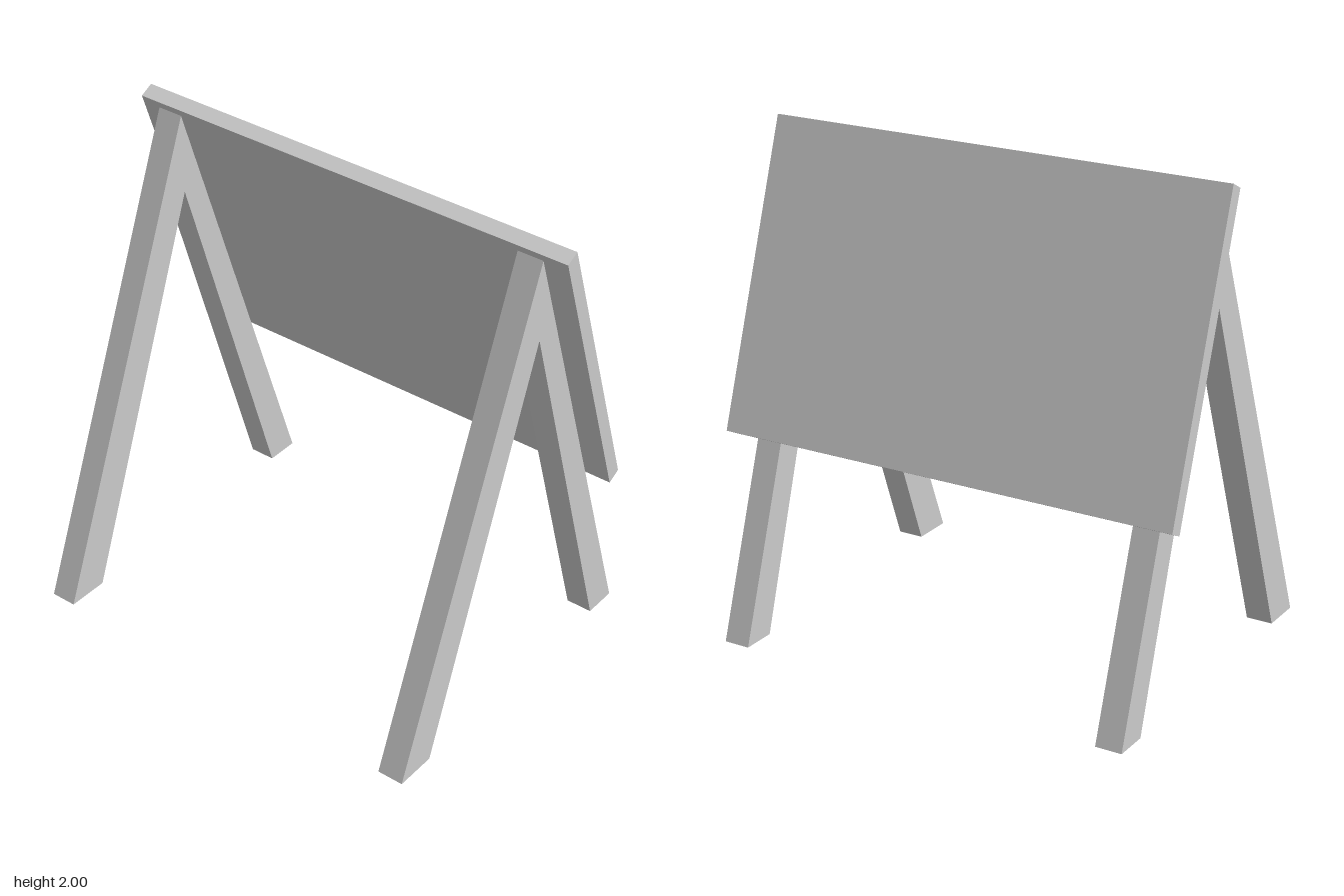
import * as THREE from 'three';

const material = new THREE.MeshStandardMaterial({ color: 0xcccccc, flatShading: true });

// Extrudes a side profile of [z, y] points across x, centred on the given x.
function sidePart(name, profile, width, x) {
  const shape = new THREE.Shape(profile.map(([z, y]) => new THREE.Vector2(z, y)));
  const geometry = new THREE.ExtrudeGeometry(shape, { depth: width, bevelEnabled: false });
  geometry.translate(0, 0, -width / 2);
  geometry.rotateY(-Math.PI / 2);
  const mesh = new THREE.Mesh(geometry, material);
  mesh.name = name;
  mesh.position.x = x;
  return mesh;
}

export function createModel() {
  const group = new THREE.Group();
  group.name = 'signStand';

  // A-shaped leg frames: front foot, crotch, rear foot, apex
  const frame = [
    [0.715, 0.01], [0.54, 0.01], [-0.064, 1.605],
    [-0.567, 0], [-0.71, 0], [-0.06, 1.945],
  ];
  group.add(sidePart('leftLegFrame', frame, 0.11, 0.827));
  group.add(sidePart('rightLegFrame', frame, 0.11, -0.852));

  // Sloping board resting on the rear legs
  const board = [[-0.052, 1.972], [-0.456, 0.78], [-0.512, 0.808], [-0.107, 2]];
  group.add(sidePart('board', board, 1.978, 0));

  return group;
}
